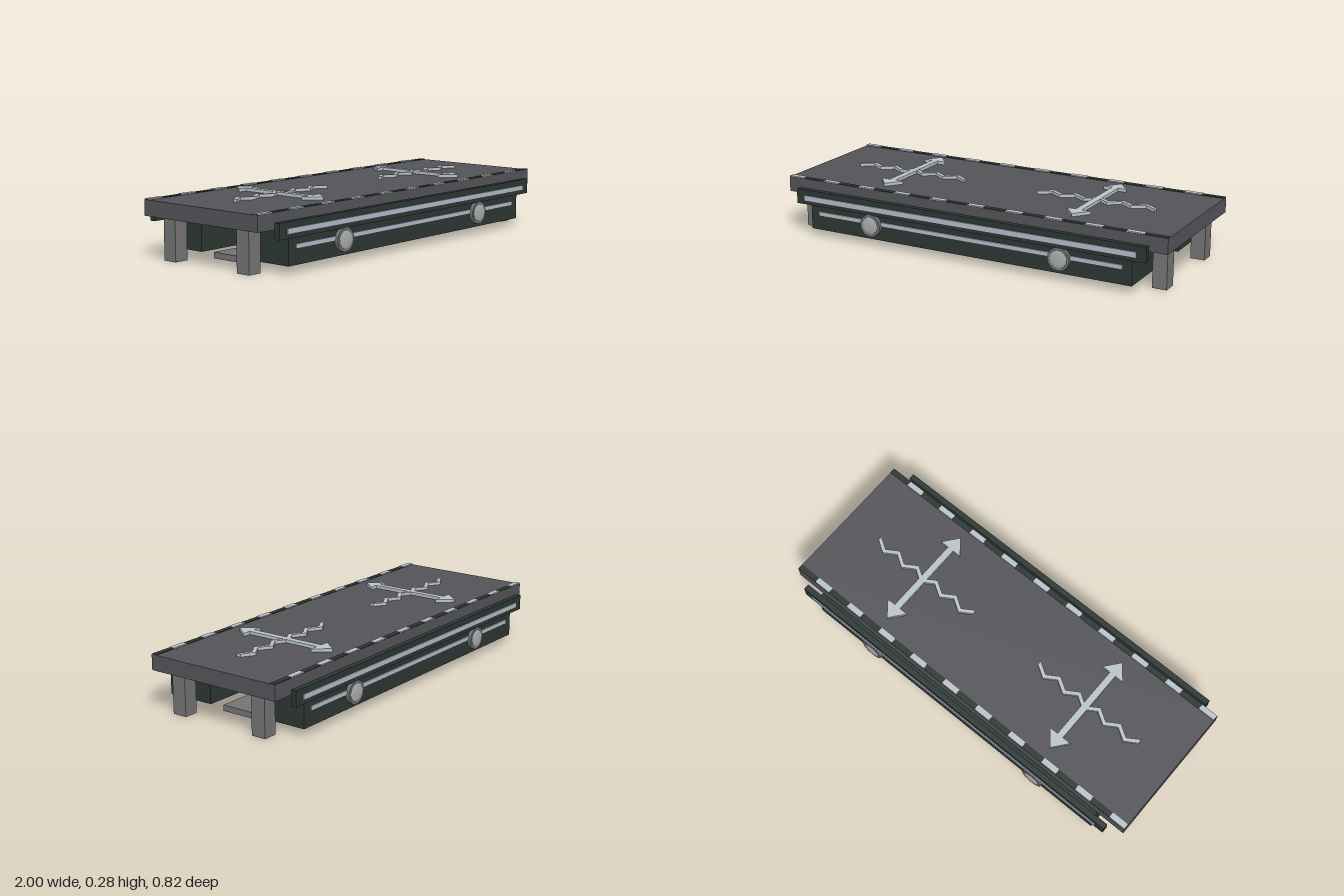
import * as THREE from 'three';

const mat = (name, color) => Object.assign(new THREE.MeshStandardMaterial({ color }), { name });

export function createModel() {
  const deckGrey = mat('deck grey', 0x545358);
  const metal = mat('support grey', 0x747373);
  const dark = mat('dark green grey', 0x2c3633);
  const light = mat('pale marking', 0xb9c3c8);
  const strip = mat('light strip', 0xb2b9c4);
  const dome = mat('lamp silver', 0xa9abad);

  const model = new THREE.Group();
  const add = (name, geo, material, parent = model) => {
    const mesh = new THREE.Mesh(geo, material);
    mesh.name = name;
    parent.add(mesh);
    return mesh;
  };
  // Box given by its minimum and maximum on each axis
  const box = (name, material, [x0, x1], [y0, y1], [z0, z1], parent) => {
    const geo = new THREE.BoxGeometry(x1 - x0, y1 - y0, z1 - z0);
    geo.translate((x0 + x1) / 2, (y0 + y1) / 2, (z0 + z1) / 2);
    return add(name, geo, material, parent);
  };

  box('deck', deckGrey, [-1, 1], [0.197, 0.27], [-0.35, 0.35]);
  box('centreBeam', metal, [-0.83, 0.83], [0.012, 0.04], [-0.088, 0.088]);

  // Long sides: the second is the first turned half way round
  for (const name of ['frontSide', 'backSide']) {
    const side = new THREE.Group();
    side.name = name;
    if (name === 'backSide') side.rotation.y = Math.PI;
    model.add(side);

    box('sideHousing', dark, [-0.85, 0.85], [0.037, 0.197], [0.145, 0.383], side);
    box('sideRail', dark, [-0.922, 0.922], [0.16, 0.233], [0.372, 0.4], side);
    box('railStrip', strip, [-0.875, 0.875], [0.18, 0.205], [0.4, 0.405], side);
    box('housingStrip', strip, [-0.805, 0.805], [0.108, 0.129], [0.383, 0.389], side);

    for (const s of [-1, 1]) {
      box('leg', metal, [s * 0.93 - 0.035, s * 0.93 + 0.035], [0, 0.197], [0.19, 0.263], side);

      // Round lamp: rim with a shallow dome
      const rim = add('lampRim', new THREE.CylinderGeometry(0.055, 0.055, 0.02, 16), metal, side);
      rim.rotation.x = Math.PI / 2;
      rim.position.set(s * 0.5, 0.108, 0.392);
      const cap = add('lampDome', new THREE.SphereGeometry(0.043, 16, 6, 0, Math.PI * 2, 0, Math.PI / 2), dome, side);
      cap.rotation.x = Math.PI / 2;
      cap.scale.y = 0.15;
      cap.position.set(s * 0.5, 0.108, 0.402);
    }
  }

  // Dashed edge bands
  for (const s of [-1, 1]) {
    const z = s * 0.335;
    box('edgeBand', dark, [-1, 1], [0.27, 0.273], [z - 0.0135, z + 0.0135]);
    for (let i = 0; i < 10; i++) {
      const x = -0.955 + i * 0.2;
      box('edgeDash', light, [x - 0.043, x + 0.043], [0.271, 0.2755], [z - 0.0137, z + 0.0137]);
    }
  }

  // Deck symbols: a double arrow crossing a zigzag
  const arrow = new THREE.Shape([
    [0, 0.27], [0.06, 0.195], [0.016, 0.195], [0.016, -0.195], [0.06, -0.195],
    [0, -0.27], [-0.06, -0.195], [-0.016, -0.195], [-0.016, 0.195], [-0.06, 0.195],
  ].map(([x, y]) => new THREE.Vector2(x, y)));

  const upper = [], lower = [];
  for (let i = 0; i <= 10; i++) {
    const x = -0.3 + i * 0.06, y = i % 2 ? 0.019 : -0.019;
    upper.push(new THREE.Vector2(x, y + 0.011));
    lower.unshift(new THREE.Vector2(x, y - 0.011));
  }
  const zigzag = new THREE.Shape([...upper, ...lower]);

  for (const x of [-0.5, 0.5]) {
    for (const [name, shape, depth] of [['doubleArrow', arrow, 0.015], ['zigzag', zigzag, 0.014]]) {
      const geo = new THREE.ExtrudeGeometry(shape, { depth, bevelEnabled: false });
      geo.rotateX(-Math.PI / 2);
      add(name, geo, light).position.set(x, 0.27, 0);
    }
  }
  return model;
}
